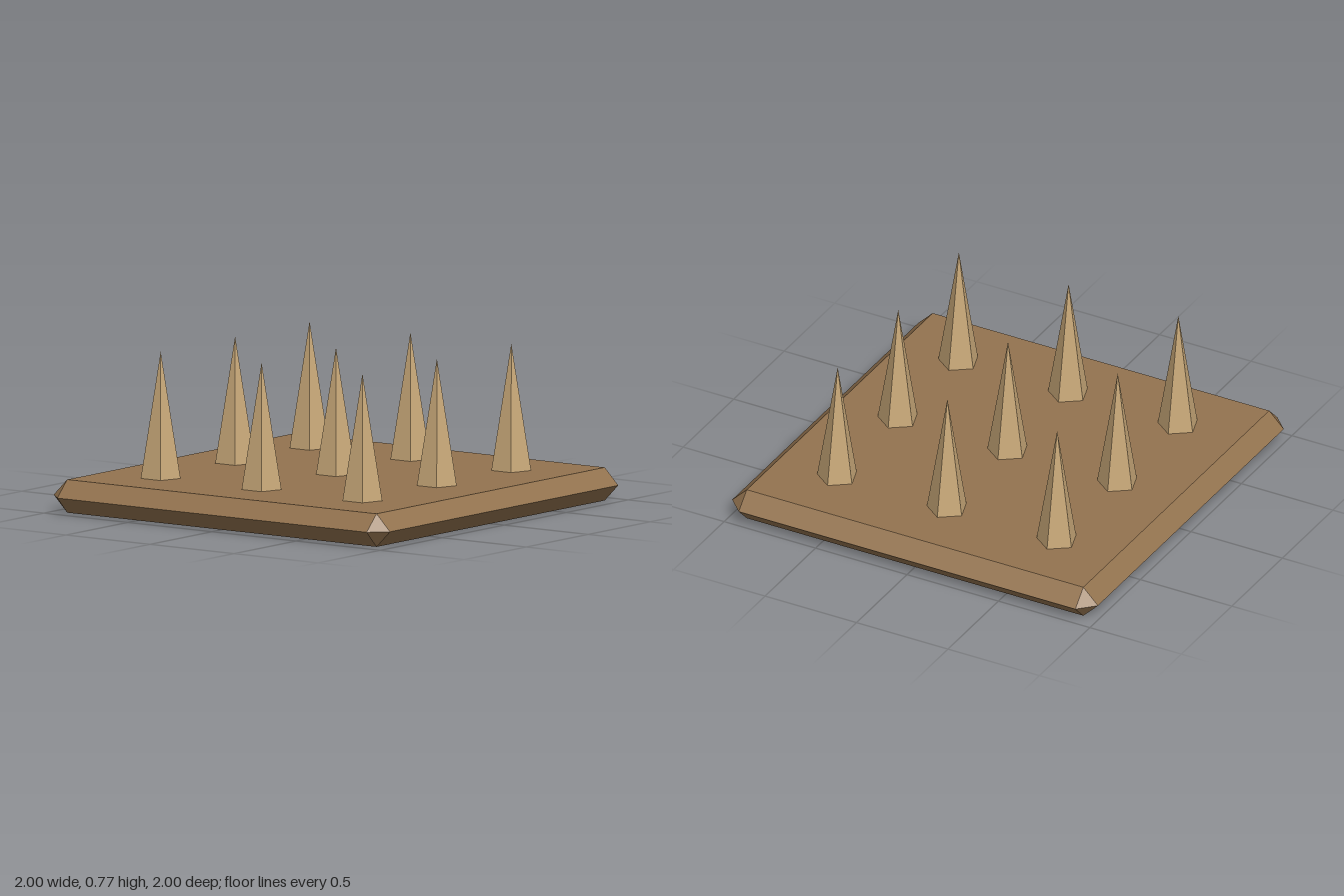
import * as THREE from 'three';
import { ConvexGeometry } from 'three/addons/geometries/ConvexGeometry.js';

const MID = 0.08;       // half the slab thickness, also the bevel size
const INNER = 0.92;     // half width of the flat faces
const SPIKE_HEIGHT = 0.61;

export function createModel() {
  const model = new THREE.Group();
  model.name = 'spikeTrap';

  const wood = new THREE.MeshStandardMaterial({ color: 0x93734f, flatShading: true });
  wood.name = 'brown wood';
  const paleWood = new THREE.MeshStandardMaterial({ color: 0xc8a878, flatShading: true });
  paleWood.name = 'pale wood';

  // Bevelled slab: each corner is cut to a small triangle
  const corners = [];
  for (const x of [-1, 1]) for (const y of [-1, 1]) for (const z of [-1, 1]) {
    corners.push(
      new THREE.Vector3(x, 0, z * INNER),
      new THREE.Vector3(x * INNER, y * MID, z * INNER),
      new THREE.Vector3(x * INNER, 0, z),
    );
  }
  const base = new THREE.Mesh(new ConvexGeometry(corners), wood);
  base.name = 'base';
  base.position.y = MID;
  model.add(base);

  // Three by three grid of five-sided spikes, flat side to the front
  const spikeGeometry = new THREE.ConeGeometry(0.1, SPIKE_HEIGHT, 5);
  spikeGeometry.rotateY(Math.PI);
  spikeGeometry.translate(0, SPIKE_HEIGHT / 2, 0);
  const spikes = new THREE.Group();
  spikes.name = 'spikes';
  for (const x of [-0.6, 0, 0.6]) for (const z of [-0.6, 0, 0.6]) {
    const spike = new THREE.Mesh(spikeGeometry, paleWood);
    spike.name = 'spike';
    spike.position.set(x, 2 * MID, z);
    spikes.add(spike);
  }
  model.add(spikes);

  return model;
}
